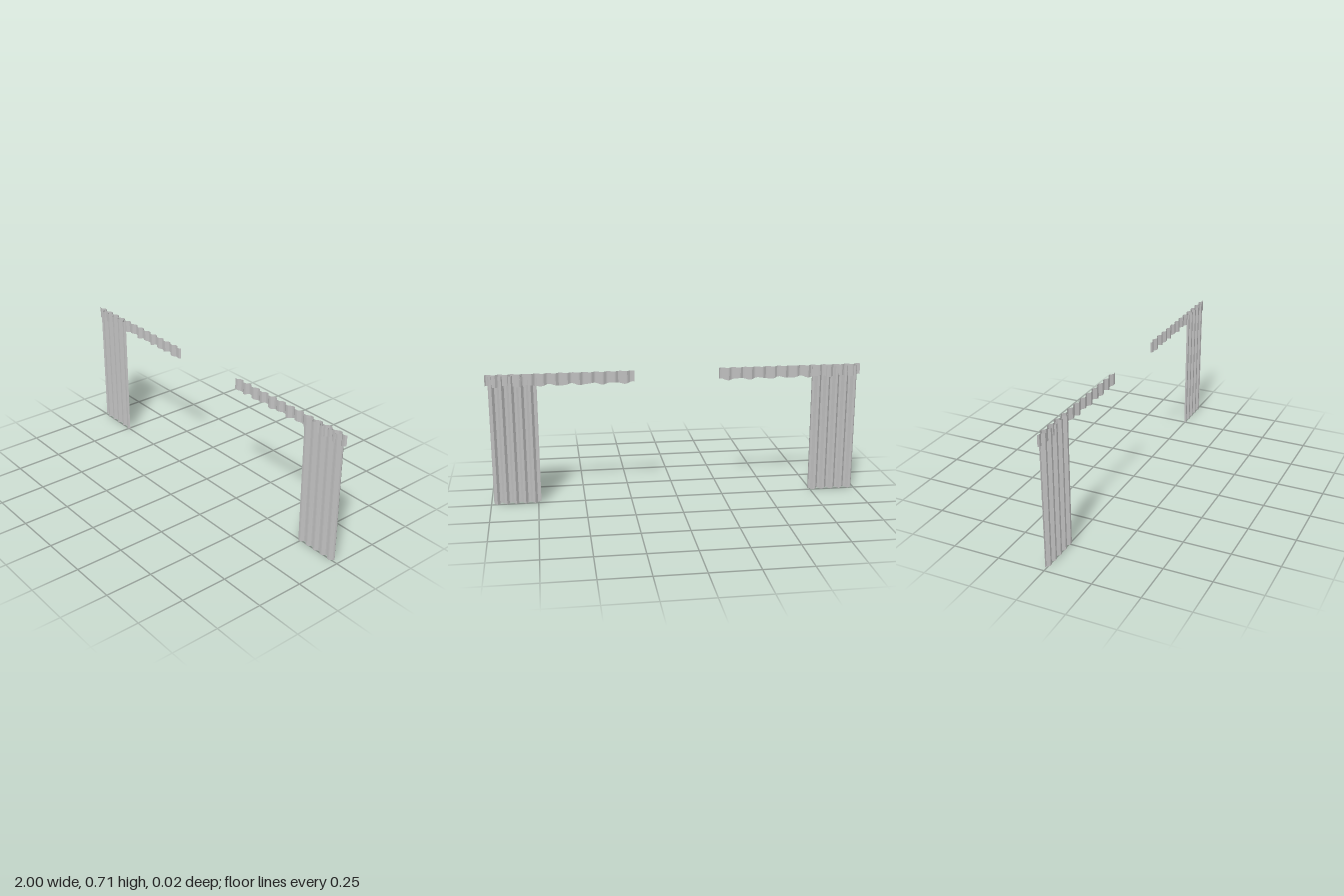
import * as THREE from 'three';

const fabric = new THREE.MeshStandardMaterial({ color: 0xc0c0c0, side: THREE.DoubleSide, flatShading: true });
fabric.name = 'grey fabric';

// Rounded trapezoid fold, from -1 to 1
const fold = (t) => THREE.MathUtils.clamp(1.35 * Math.sin(t * Math.PI * 2), -1, 1);

// Pleated sheet hanging between x0 and x1
function pleatedSheet({ x0, x1, bottom, top, waves, z, depthTop, depthBottom, hem, hemWaves, rows }) {
  const cols = Math.round(waves * 8);
  const geo = new THREE.PlaneGeometry(1, 1, cols, rows);
  const p = geo.attributes.position;
  for (let i = 0; i < p.count; i++) {
    const u = p.getX(i) + 0.5, v = p.getY(i) + 0.5;
    const depth = THREE.MathUtils.lerp(depthBottom, depthTop, v);
    const low = bottom + hem * (0.5 + 0.5 * Math.cos(u * hemWaves * Math.PI * 2));
    p.setXYZ(i, THREE.MathUtils.lerp(x0, x1, u),
      THREE.MathUtils.lerp(low, top, v), z + depth * fold(u * waves));
  }
  geo.computeVertexNormals();
  return geo;
}

export function createModel() {
  const model = new THREE.Group();
  model.name = 'curtains';
  for (const side of [1, -1]) {
    const half = new THREE.Group();
    half.name = side > 0 ? 'leftCurtain' : 'rightCurtain';
    // Long drape at the outer end
    const drape = new THREE.Mesh(pleatedSheet({
      x0: side * 0.735, x1: side * 0.985, bottom: 0, top: 0.702, waves: 5,
      z: 0.002, depthTop: 0.01, depthBottom: 0.008, hem: 0.008, hemWaves: 5, rows: 2,
    }), fabric);
    drape.name = 'drape';
    // Short valance along the top
    const valance = new THREE.Mesh(pleatedSheet({
      x0: side * 0.225, x1: side, bottom: 0.643, top: 0.711, waves: 12.5,
      z: -0.003, depthTop: 0.007, depthBottom: 0.007, hem: 0.01, hemWaves: 7, rows: 1,
    }), fabric);
    valance.name = 'valance';
    half.add(drape, valance);
    model.add(half);
  }
  return model;
}
